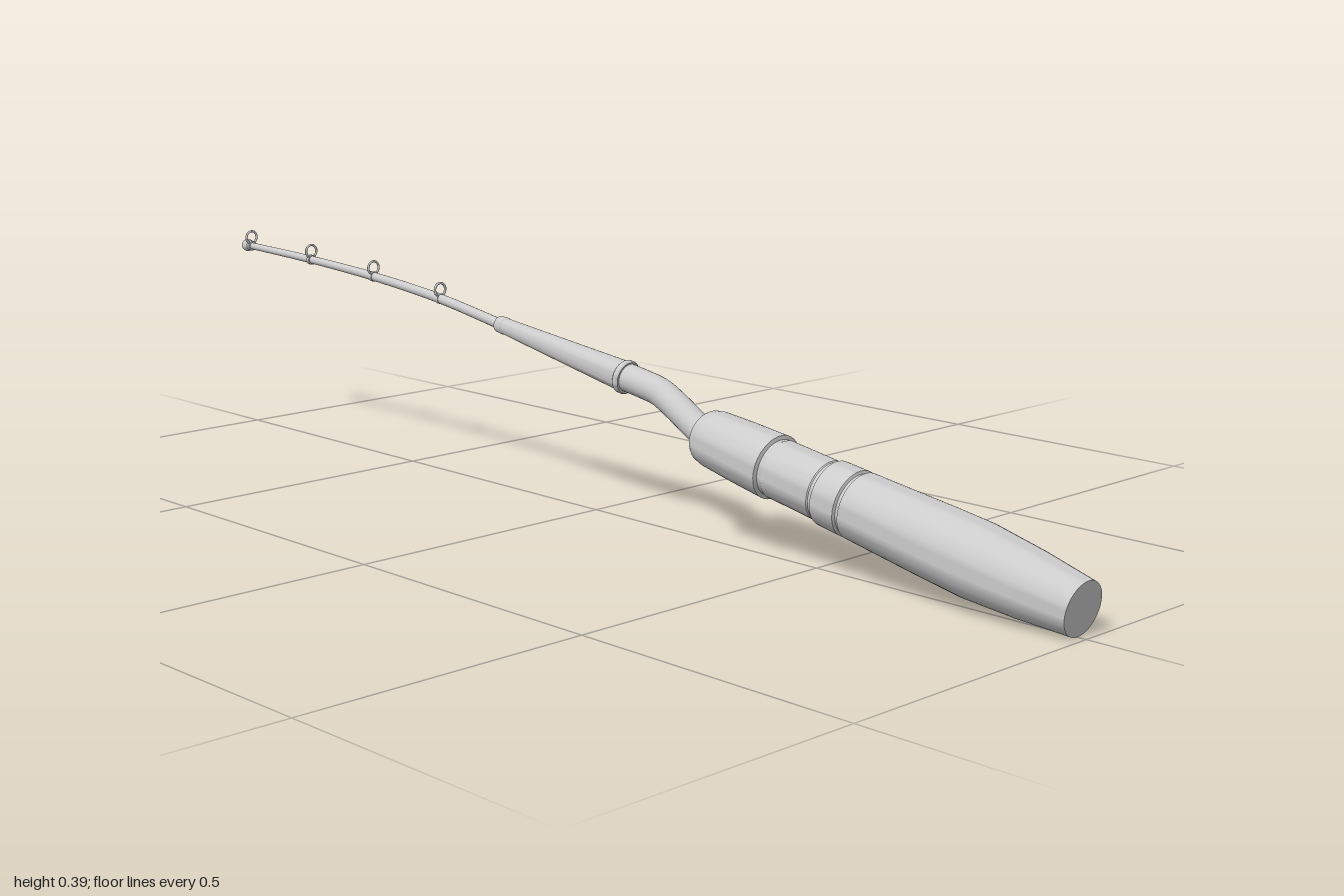
import * as THREE from 'three';
import { toCreasedNormals } from 'three/addons/utils/BufferGeometryUtils.js';

const V = (x, y, z) => new THREE.Vector3(x, y, z);
const UP = V(0, 1, 0);

export function createModel() {
  const root = new THREE.Group();
  const mat = new THREE.MeshStandardMaterial({ color: 0xcccccc });

  const add = (name, geometry, parent = root) => {
    const mesh = new THREE.Mesh(geometry, mat);
    mesh.name = name;
    parent.add(mesh);
    return mesh;
  };

  // Turned part: profile of [radius, distance] running from a towards b
  const turned = (name, a, b, profile, sides = 40) => {
    const points = profile.map(([r, d]) => new THREE.Vector2(r, d));
    const mesh = add(name, toCreasedNormals(new THREE.LatheGeometry(points, sides), 0.4));
    mesh.position.copy(a);
    mesh.quaternion.setFromUnitVectors(UP, b.clone().sub(a).normalize());
    return mesh;
  };

  // Handle with a tapered butt, two grip grooves, a step and a recessed front
  const butt = V(0, 0.0435, 0.9925);
  const front = V(0, 0.174, 0.26);
  const L = butt.distanceTo(front);
  turned('handle', butt, front, [
    [0, 0], [0.0435, 0], [0.053, 0.09], [0.0595, 0.185], [0.0585, 0.26],
    [0.0545, 0.413], [0.050, 0.415], [0.050, 0.421], [0.0545, 0.423],
    [0.0535, 0.470], [0.048, 0.473], [0.048, 0.479], [0.0495, 0.481],
    [0.0485, 0.578], [0.047, 0.581], [0.047, 0.587], [0.0535, 0.589],
    [0.051, 0.66], [0.0475, 0.722], [0.044, L - 0.006], [0.040, L],
    [0.034, L], [0.032, L - 0.012], [0, L - 0.012],
  ]);

  // Bent neck between handle and foregrip
  const neck = new THREE.CatmullRomCurve3([
    V(0, 0.157, 0.30), V(0.001, 0.177, 0.25), V(0.003, 0.212, 0.185),
    V(0.004, 0.228, 0.15), V(0.004, 0.236, 0.11), V(0.003, 0.244, 0.06),
  ]);
  add('neck', new THREE.TubeGeometry(neck, 32, 0.024, 28));

  // Foregrip: collar at the neck, long taper and a small end ferrule
  const gripStart = V(0.003, 0.241, 0.076);
  const gripEnd = V(-0.008, 0.295, -0.24);
  const G = gripStart.distanceTo(gripEnd);
  turned('foregrip', gripStart, gripEnd, [
    [0, 0], [0.027, 0], [0.029, 0.003], [0.029, 0.010], [0.026, 0.013],
    [0.0145, G - 0.018], [0.0155, G - 0.016], [0.0145, G - 0.001], [0.0125, G], [0, G],
  ], 32);

  // Slender curved rod, narrowing to the tip
  const rodPath = new THREE.CatmullRomCurve3([
    V(-0.007, 0.291, -0.22), V(-0.010, 0.321, -0.40), V(-0.0135, 0.341, -0.59),
    V(-0.016, 0.353, -0.78), V(-0.018, 0.361, -0.988),
  ]);
  const steps = 40, sides = 16;
  const rodGeometry = new THREE.TubeGeometry(rodPath, steps, 1, sides);
  const pos = rodGeometry.attributes.position;
  const p = V(0, 0, 0);
  for (let i = 0; i <= steps; i++) {
    const center = rodPath.getPointAt(i / steps);
    const radius = THREE.MathUtils.lerp(0.0095, 0.0065, i / steps);
    for (let j = 0; j <= sides; j++) {
      const k = i * (sides + 1) + j;
      p.fromBufferAttribute(pos, k).sub(center).multiplyScalar(radius).add(center);
      pos.setXYZ(k, p.x, p.y, p.z);
    }
  }
  add('rod', rodGeometry);

  // Rounded tip
  add('rodTip', new THREE.SphereGeometry(0.012, 20, 14)).position.set(-0.018, 0.361, -0.988);

  // Line guides: upright ring on a thin wrap around the rod
  [[-0.010, 0.321, -0.40], [-0.0135, 0.341, -0.59],
    [-0.016, 0.353, -0.78], [-0.018, 0.361, -0.975]].forEach(([x, y, z]) => {
    const guide = new THREE.Group();
    guide.name = 'lineGuide';
    guide.position.set(x, y, z);
    root.add(guide);
    add('guideRing', new THREE.TorusGeometry(0.012, 0.0022, 10, 28), guide).position.y = 0.0165;
    const wrap = add('guideWrap', new THREE.CylinderGeometry(0.0095, 0.0095, 0.007, 18), guide);
    wrap.rotation.x = Math.PI / 2;
  });

  return root;
}
